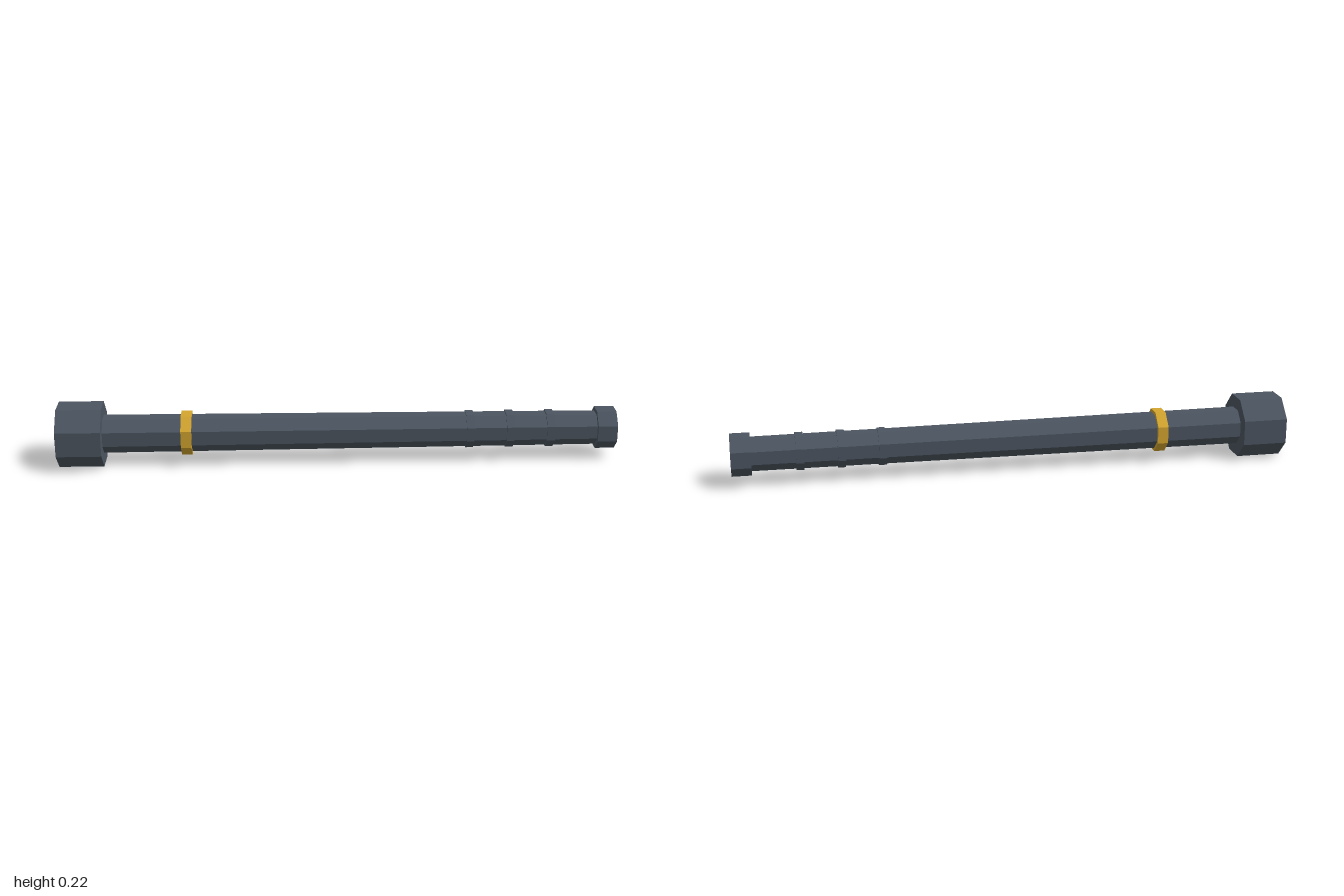
import * as THREE from 'three';

const AXIS_Y = 0.108;

export function createModel() {
  const group = new THREE.Group();
  const steel = new THREE.MeshStandardMaterial({ color: 0x4b5560, flatShading: true });
  steel.name = 'dark steel';
  const gold = new THREE.MeshStandardMaterial({ color: 0xd4a62f, flatShading: true });
  gold.name = 'gold';

  // Octagonal prism along x, flats facing up; a0 and a1 are centre-to-flat distances
  function prism(name, x0, x1, a0, a1, material) {
    const k = 1 / Math.cos(Math.PI / 8);
    const geo = new THREE.CylinderGeometry(a1 * k, a0 * k, x1 - x0, 8, 1, false, Math.PI / 8);
    geo.rotateZ(-Math.PI / 2);
    const mesh = new THREE.Mesh(geo, material);
    mesh.name = name;
    mesh.position.set((x0 + x1) / 2, AXIS_Y, 0);
    group.add(mesh);
  }

  // Heavy end, tapering shaft and small end cap
  prism('pommel', -1, -0.84, 0.108, 0.108, steel);
  prism('shaft', -0.85, 0.94, 0.063, 0.056, steel);
  prism('endCap', 0.93, 1, 0.07, 0.07, steel);

  // Gold band
  prism('goldBand', -0.562, -0.524, 0.073, 0.073, gold);

  // Grip rings
  [0.473, 0.617, 0.762].forEach((x, i) =>
    prism('gripRing' + (i + 1), x - 0.014, x + 0.014, 0.062, 0.062, steel));

  return group;
}
